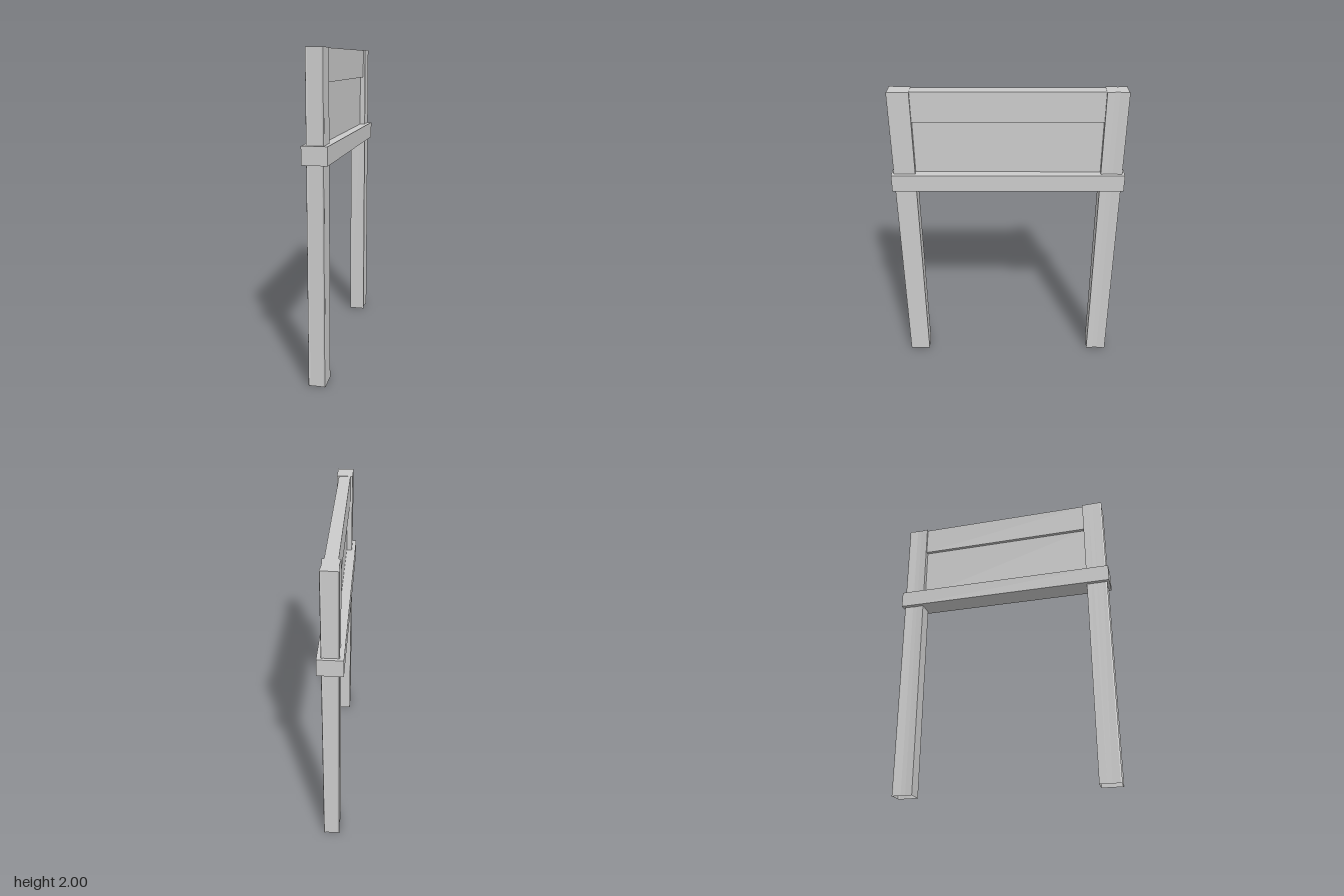
import * as THREE from 'three';
import { mergeGeometries } from 'three/addons/utils/BufferGeometryUtils.js';

const material = new THREE.MeshStandardMaterial({ color: 0xcccccc, flatShading: true });
const hollow = new THREE.MeshStandardMaterial({ color: 0xcccccc, flatShading: true, side: THREE.DoubleSide });

function box(name, width, depth, bottom, top) {
  const mesh = new THREE.Mesh(new THREE.BoxGeometry(width, top - bottom, depth), material);
  mesh.name = name;
  mesh.position.y = (bottom + top) / 2;
  return mesh;
}

// Hollow post: walls along a closed outline, capped at the top and open below
function post(name, side, waist) {
  const right = [[0.052, 0.588], [waist, 0.635], [waist, 0.665], [0.053, 0.715], [0.05, 0.724], [0.04, 0.72]];
  const outline = [...right, ...right.map(([x, z]) => [-x, z]).reverse()]
    .map(([x, z]) => new THREE.Vector2(x, -z * side));
  if (THREE.ShapeUtils.isClockWise(outline)) outline.reverse();

  const cap = new THREE.ShapeGeometry(new THREE.Shape(outline)).toNonIndexed();
  cap.rotateX(-Math.PI / 2).translate(0, 2, 0);
  cap.deleteAttribute('uv');

  const points = [];
  outline.forEach((a, i) => {
    const b = outline[(i + 1) % outline.length];
    points.push(a.x, 0, -a.y, b.x, 0, -b.y, b.x, 2, -b.y);
    points.push(a.x, 0, -a.y, b.x, 2, -b.y, a.x, 2, -a.y);
  });
  const walls = new THREE.BufferGeometry();
  walls.setAttribute('position', new THREE.Float32BufferAttribute(points, 3));
  walls.computeVertexNormals();

  const mesh = new THREE.Mesh(mergeGeometries([walls, cap]), hollow);
  mesh.name = name;
  return mesh;
}

export function createModel() {
  const group = new THREE.Group();
  group.name = 'postFrame';

  // Two uprights, the back one slightly waisted
  group.add(post('frontPost', 1, 0.052), post('backPost', -1, 0.047));

  // Crossbeam wrapping both posts
  group.add(box('crossbeam', 0.154, 1.478, 1.35, 1.46));

  // Recessed panel with a thicker board above it
  group.add(box('panel', 0.034, 1.18, 1.45, 1.81));
  group.add(box('topBoard', 0.076, 1.18, 1.805, 1.998));

  return group;
}
